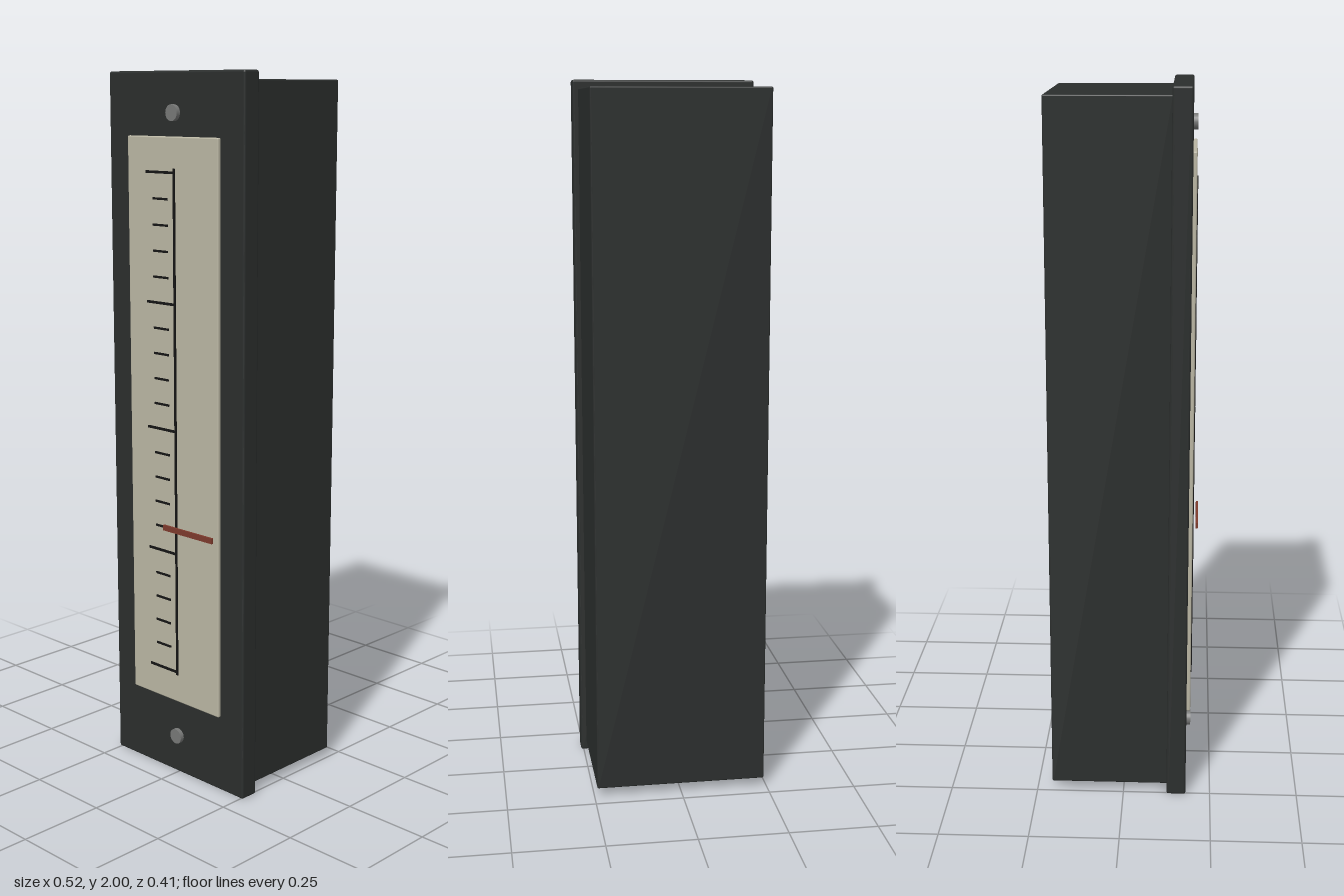
import * as THREE from 'three';
import { RoundedBoxGeometry } from 'three/addons/geometries/RoundedBoxGeometry.js';

const paint = (color) => new THREE.MeshStandardMaterial({ color });

export function createModel() {
  const model = new THREE.Group();
  const black = paint(0x2b2e2d);
  const cream = paint(0xbab6a3);
  const ink = paint(0x141414);
  const red = paint(0x7d3a2c);
  const steel = paint(0x777877);

  // Box given by its extents on each axis, with optional rounded edges
  function box(name, [x0, x1], [y0, y1], [z0, z1], material, radius = 0, parent = model) {
    const size = [x1 - x0, y1 - y0, z1 - z0];
    const geometry = radius
      ? new RoundedBoxGeometry(...size, 3, radius)
      : new THREE.BoxGeometry(...size);
    const mesh = new THREE.Mesh(geometry, material);
    mesh.name = name;
    mesh.position.set((x0 + x1) / 2, (y0 + y1) / 2, (z0 + z1) / 2);
    parent.add(mesh);
    return mesh;
  }

  // Housing, front bezel and dial plate
  box('housing', [-0.242, 0.242], [0.025, 1.977], [-0.207, 0.13], black, 0.004);
  box('bezel', [-0.258, 0.258], [0, 2], [0.125, 0.18], black, 0.006);
  box('dialPlate', [-0.174, 0.173], [0.224, 1.829], [0.179, 0.191], cream, 0.004);

  // Scale: vertical line with 21 ticks, every fifth one long
  const scale = new THREE.Group();
  scale.name = 'scale';
  model.add(scale);
  const depth = [0.19, 0.194];
  box('scaleLine', [0.006, 0.013], [0.307, 1.745], depth, ink, 0, scale);
  for (let i = 0; i <= 20; i++) {
    const major = i % 5 === 0;
    const y = 0.316 + i * 0.0709;
    const half = major ? 0.0035 : 0.003;
    box(major ? 'majorTick' : 'minorTick', major ? [-0.1, 0.01] : [-0.073, -0.016],
      [y - half, y + half], depth, ink, 0, scale);
  }

  // Pointer floating just in front of the scale
  box('pointer', [-0.03, 0.163], [0.736, 0.752], [0.2, 0.206], red);

  // Bezel screws, above and below the dial plate
  for (const y of [0.114, 1.891]) {
    const screw = new THREE.Mesh(new THREE.CylinderGeometry(0.022, 0.022, 0.016, 24), steel);
    screw.name = 'screw';
    screw.rotation.x = Math.PI / 2;
    screw.position.set(0, y, 0.184);
    model.add(screw);
  }

  return model;
}
